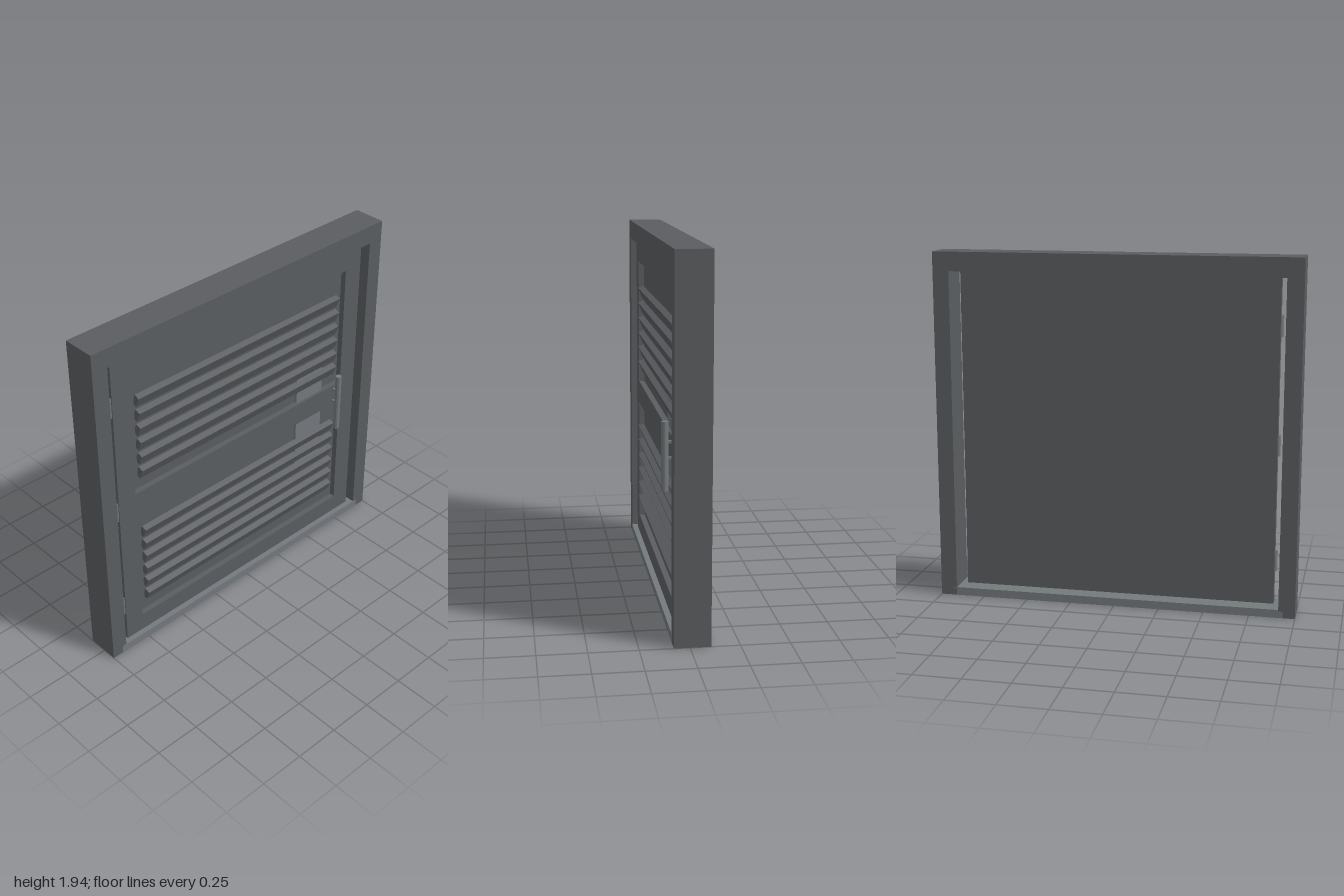
import * as THREE from 'three';

const dark = new THREE.MeshStandardMaterial({ color: 0x5a5d60, flatShading: true });
const light = new THREE.MeshStandardMaterial({ color: 0x74797d, flatShading: true });

function add(parent, name, geometry, material, x = 0, y = 0, z = 0) {
  const mesh = new THREE.Mesh(geometry, material);
  mesh.name = name;
  mesh.position.set(x, y, z);
  parent.add(mesh);
  return mesh;
}

// Box given by its lower and upper limits on each axis
function block(parent, name, material, [x0, x1], [y0, y1], [z0, z1]) {
  return add(parent, name, new THREE.BoxGeometry(x1 - x0, y1 - y0, z1 - z0), material,
    (x0 + x1) / 2, (y0 + y1) / 2, (z0 + z1) / 2);
}

function rectangle(Type, x0, x1, y0, y1) {
  return new Type([[x0, y0], [x1, y0], [x1, y1], [x0, y1]].map(p => new THREE.Vector2(...p)));
}

const extrude = (shape, depth) => new THREE.ExtrudeGeometry(shape, { depth, bevelEnabled: false });

export function createModel() {
  const model = new THREE.Group();
  model.name = 'louveredDoor';

  // Surround: jambs and head in one piece, open at the bottom
  const outline = [[-1, 0], [-0.91, 0], [-0.91, 1.835], [0.91, 1.835], [0.91, 0], [1, 0], [1, 1.94], [-1, 1.94]];
  const surround = new THREE.Shape(outline.map(p => new THREE.Vector2(...p)));
  add(model, 'frame', extrude(surround, 0.185), dark, 0, 0, -0.105);
  block(model, 'sill', light, [-0.936, 0.936], [0, 0.045], [-0.105, 0.081]);

  // Door leaf: plain back sheet and a front layer with two recesses
  const door = new THREE.Group();
  door.name = 'door';
  model.add(door);
  block(door, 'backSheet', dark, [-0.875, 0.875], [0.045, 1.83], [-0.01, 0.018]);
  const face = rectangle(THREE.Shape, -0.875, 0.875, 0.045, 1.83);
  face.holes.push(
    rectangle(THREE.Path, -0.765, 0.76, 0.15, 0.86),
    rectangle(THREE.Path, -0.765, 0.76, 0.99, 1.71));
  add(door, 'stilesAndRails', extrude(face, 0.032), dark, 0, 0, 0.018);

  // Tilted louvers, six in each recess
  const slat = new THREE.BoxGeometry(1.432, 0.063, 0.033);
  for (const lowest of [0.264, 1.096]) {
    for (let i = 0; i < 6; i++) {
      const louver = add(door, 'louver', slat, dark, -0.003, lowest + i * 0.0882, 0.033);
      louver.rotation.x = 0.38;
    }
  }

  // Lock case behind the louvers and middle rail
  block(door, 'lockCase', light, [0.42, 0.62], [0.57, 1.145], [0.01, 0.035]);

  // Upright pull bar on two short posts
  add(door, 'handle', new THREE.CylinderGeometry(0.018, 0.018, 0.355, 12), light, 0.705, 0.893, 0.087);
  for (const y of [0.885, 0.965]) {
    block(door, 'handlePost', light, [0.698, 0.712], [y - 0.007, y + 0.007], [0.045, 0.085]);
  }

  // Hinge barrels in the gap on one side
  const barrel = new THREE.CylinderGeometry(0.015, 0.015, 0.115, 12);
  for (const y of [0.28, 0.925, 1.57]) add(door, 'hinge', barrel, light, -0.874, y, 0.03);

  return model;
}
